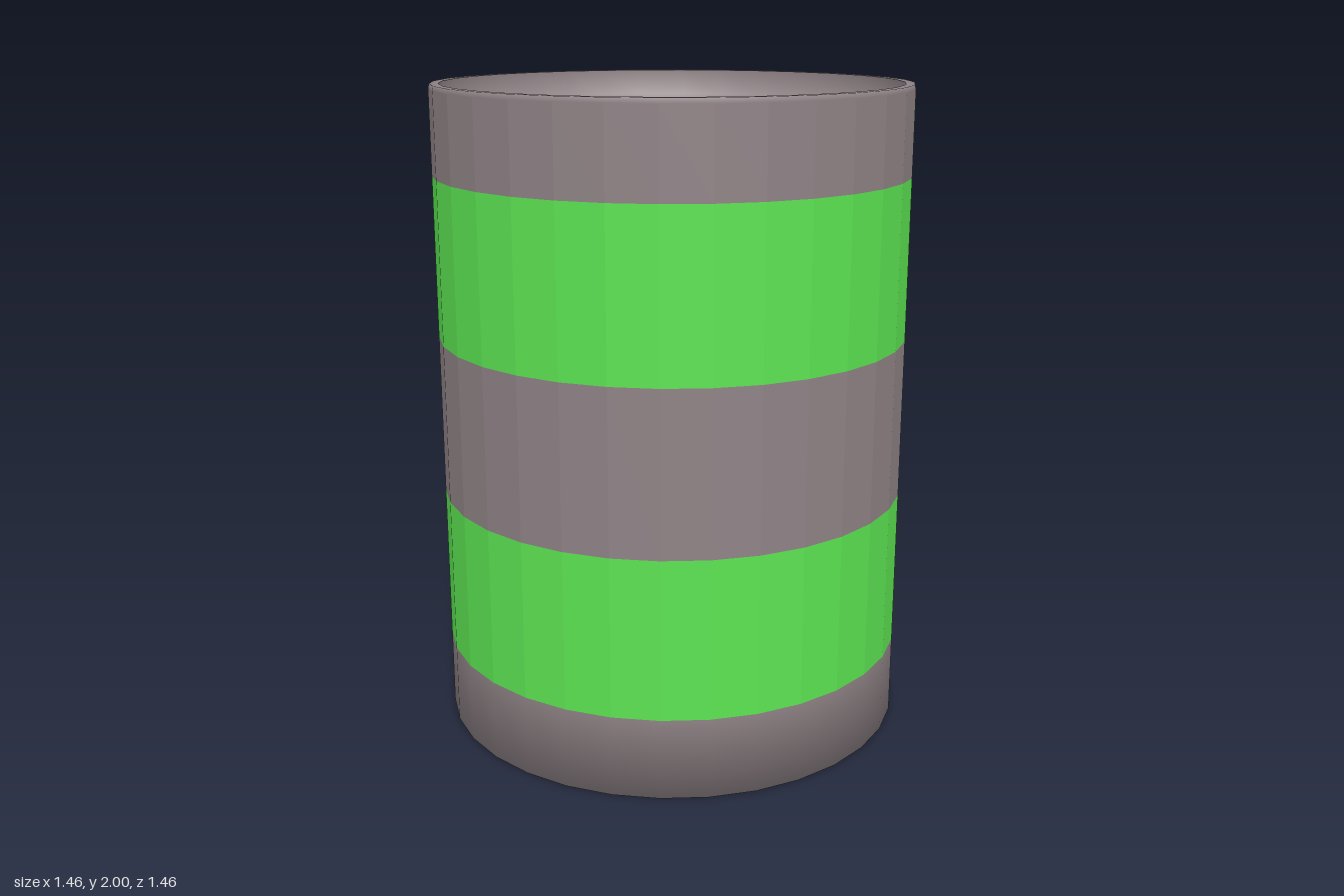
import * as THREE from 'three';

const SIDES = 32;
const R = 0.73;     // outer radius
const INNER = 0.7;  // inside of the rim
const LID = 1.92;   // height of the recessed lid
const GREY = 0x8f8386;
const GREEN = 0x5ce452;

export function createModel() {
  const group = new THREE.Group();

  // Revolves [radius, height] points, listed from the bottom or outside inwards.
  // With slopes, each point also gets a soft [outward, up] normal; without, the sides stay flat.
  function turned(name, color, profile, slopes) {
    const points = profile.map(([r, y]) => new THREE.Vector2(r, y));
    const geometry = new THREE.LatheGeometry(points, SIDES);
    if (slopes) {
      const normal = geometry.attributes.normal;
      for (let k = 0; k < normal.count; k++) {
        const angle = Math.floor(k / points.length) / SIDES * Math.PI * 2;
        const [out, up] = slopes[k % points.length];
        const length = Math.hypot(out, up);
        normal.setXYZ(k, out * Math.sin(angle) / length, up / length, out * Math.cos(angle) / length);
      }
    }
    const material = new THREE.MeshStandardMaterial({ color, flatShading: !slopes });
    const mesh = new THREE.Mesh(geometry, material);
    mesh.name = name;
    group.add(mesh);
  }

  // Closed base, shaded softly around its lower edge
  turned('base', GREY, [[0, 0], [R, 0], [R, 0.25]], [[0, -1], [1, -0.85], [1, 0]]);

  // Straight wall in alternating stripes
  const stripes = [
    ['lowerStripe', GREEN, 0.25, 0.74],
    ['middleBand', GREY, 0.74, 1.235],
    ['upperStripe', GREEN, 1.235, 1.73],
    ['upperBand', GREY, 1.73, 1.985],
  ];
  for (const [name, color, y0, y1] of stripes) turned(name, color, [[R, y0], [R, y1]]);

  // Thin rim with a very slight rounding
  turned('rim', GREY, [[R, 1.985], [R - 0.003, 2], [INNER, 2]], [[1, 0], [1, 1], [0, 1]]);

  // Recessed lid, shaded softly into the inside of the rim
  turned('lid', GREY, [[INNER, 2], [INNER, LID], [0, LID]], [[-1, 0], [-1, 0.85], [0, 1]]);

  return group;
}
